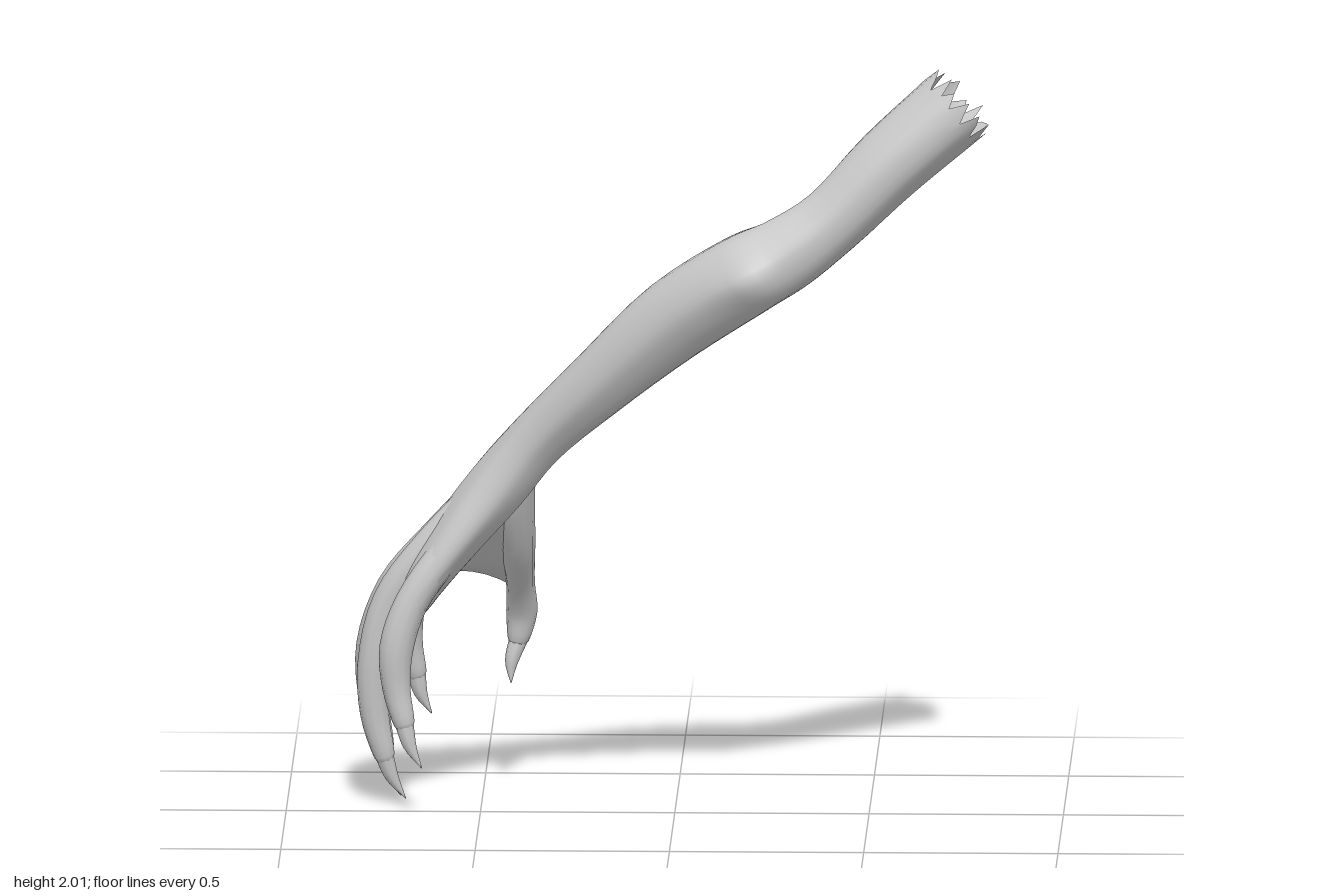
import * as THREE from 'three';

const material = new THREE.MeshStandardMaterial({ color: 0xcccccc, side: THREE.DoubleSide });

// Lofts elliptical rings along a smooth path. Row: [x, y, z, depth radius, side radius]
function loft(name, rows, sides, steps, shape) {
  const path = new THREE.CatmullRomCurve3(rows.map(r => new THREE.Vector3(r[0], r[1], r[2])));
  const radii = new THREE.CatmullRomCurve3(
    rows.map(r => new THREE.Vector3(r[3], r[4] ?? r[3], 0)), false, 'catmullrom');
  const rings = (rows.length - 1) * steps;
  const positions = [], index = [];
  for (let i = 0; i <= rings; i++) {
    const u = i / rings;
    const p = path.getPoint(u), t = path.getTangent(u), r = radii.getPoint(u);
    const side = new THREE.Vector3(0, 0, 1).addScaledVector(t, -t.z).normalize();
    const up = t.clone().cross(side);
    for (let j = 0; j < sides; j++) {
      const a = j / sides * Math.PI * 2;
      const v = p.clone()
        .addScaledVector(side, Math.cos(a) * Math.max(r.y, 0.001))
        .addScaledVector(up, Math.sin(a) * Math.max(r.x, 0.001));
      if (shape) shape(v, t, i, j);
      positions.push(v.x, v.y, v.z);
      if (i < rings) {
        const k = (j + 1) % sides, n = i * sides;
        index.push(n + j, n + k, n + sides + k, n + j, n + sides + k, n + sides + j);
      }
    }
  }
  const geometry = new THREE.BufferGeometry();
  geometry.setAttribute('position', new THREE.Float32BufferAttribute(positions, 3));
  geometry.setIndex(index);
  geometry.computeVertexNormals();
  const mesh = new THREE.Mesh(geometry, material);
  mesh.name = name;
  return mesh;
}

// Arm from the torn, open upper end down to the knuckles
const armRows = [
  [0.735, 1.913, 0.235, 0.1, 0.135],
  [0.56, 1.76, 0.255, 0.095, 0.12],
  [0.41, 1.61, 0.265, 0.088, 0.105],
  [0.29, 1.522, 0.265, 0.1, 0.112],
  [0.19, 1.465, 0.245, 0.11, 0.13],
  [0.0, 1.328, 0.17, 0.108, 0.11],
  [-0.2, 1.14, 0.092, 0.086, 0.082],
  [-0.35, 0.988, 0.02, 0.073, 0.075],
  [-0.45, 0.862, -0.022, 0.075, 0.098],
  [-0.55, 0.735, -0.05, 0.067, 0.13],
  [-0.645, 0.6, -0.07, 0.054, 0.15],
  [-0.675, 0.53, -0.075, 0.036, 0.145],
  [-0.685, 0.5, -0.075, 0.001, 0.06],
];

// Digits: [name, root to fingertip rows, claw tip]
const digits = [
  ['littleFinger', [[-0.45, 0.89, 0.0, 0.02], [-0.58, 0.7, 0.03, 0.042], [-0.675, 0.56, 0.04, 0.043],
    [-0.715, 0.44, 0.04, 0.044], [-0.715, 0.33, 0.037, 0.036], [-0.695, 0.24, 0.042, 0.027]], [-0.65, 0.125, 0.05]],
  ['ringFinger', [[-0.47, 0.9, -0.03, 0.02], [-0.635, 0.69, -0.045, 0.042], [-0.735, 0.54, -0.065, 0.045],
    [-0.775, 0.38, -0.075, 0.043], [-0.775, 0.24, -0.085, 0.037], [-0.75, 0.13, -0.09, 0.027]], [-0.695, 0.015, -0.1]],
  ['middleFinger', [[-0.47, 0.9, -0.05, 0.02], [-0.625, 0.695, -0.11, 0.042], [-0.725, 0.56, -0.15, 0.046],
    [-0.78, 0.4, -0.185, 0.045], [-0.78, 0.25, -0.21, 0.038], [-0.755, 0.13, -0.208, 0.027]], [-0.71, 0.002, -0.2]],
  ['indexFinger', [[-0.47, 0.87, -0.07, 0.03], [-0.575, 0.71, -0.16, 0.048], [-0.65, 0.58, -0.25, 0.048],
    [-0.695, 0.47, -0.33, 0.044], [-0.695, 0.37, -0.352, 0.037], [-0.675, 0.29, -0.36, 0.027]], [-0.635, 0.185, -0.362]],
  ['thumb', [[-0.385, 0.95, -0.02, 0.03, 0.04], [-0.412, 0.81, -0.1, 0.05, 0.062], [-0.41, 0.67, -0.19, 0.046, 0.064],
    [-0.405, 0.55, -0.28, 0.037, 0.045], [-0.403, 0.46, -0.333, 0.04], [-0.412, 0.385, -0.338, 0.027]], [-0.43, 0.275, -0.315]],
];

export function createModel() {
  const group = new THREE.Group();
  group.name = 'clawedArm';

  const jag = [0.036, -0.03, 0.02, -0.015, 0.045, -0.035, 0.01];
  group.add(loft('arm', armRows, 30, 4, (v, t, i, j) => {
    // Ragged torn rim
    if (i === 0) v.addScaledVector(t, -jag[j % jag.length] * (j % 2 ? 0.6 : 0.9));
    // Bony point of the elbow
    const d = v.distanceTo(new THREE.Vector3(0.2, 1.46, 0.38));
    v.z += 0.022 * Math.exp(-d * d / 0.004);
    // Long shallow muscle ridges
    v.y += 0.005 * Math.sin(j / 30 * Math.PI * 10 + i * 0.15);
  }));

  for (const [name, rows, tip] of digits) {
    const end = rows[rows.length - 1], before = rows[rows.length - 2];
    const pad = [0, 1, 2].map(k => end[k] + (end[k] - before[k]) * 0.3);
    const digit = new THREE.Group();
    digit.name = name;
    digit.add(loft(name + 'Flesh', [...rows, [...pad, 0.008]], 12, 4));
    // Curved claw growing out of the fingertip
    const mid = [0, 1, 2].map(k => end[k] * 0.5 + tip[k] * 0.5);
    mid[0] -= 0.008;
    digit.add(loft(name + 'Claw', [[end[0], end[1], end[2], 0.024], [...mid, 0.017], [...tip, 0.001]], 8, 4));
    group.add(digit);
  }

  // Web of skin between thumb and index finger, its free edge arched
  group.add(loft('thumbWeb', [
    [-0.44, 0.88, -0.04, 0.05, 0.05], [-0.485, 0.78, -0.115, 0.085, 0.055],
    [-0.51, 0.69, -0.185, 0.11, 0.048], [-0.525, 0.62, -0.24, 0.125, 0.032],
    [-0.53, 0.58, -0.27, 0.125, 0.004],
  ], 20, 4, (v, t, i) => {
    v.addScaledVector(t, 0.05 * (i / 16) ** 2 * ((v.x + 0.53) / 0.125) ** 2);
  }));
  return group;
}
